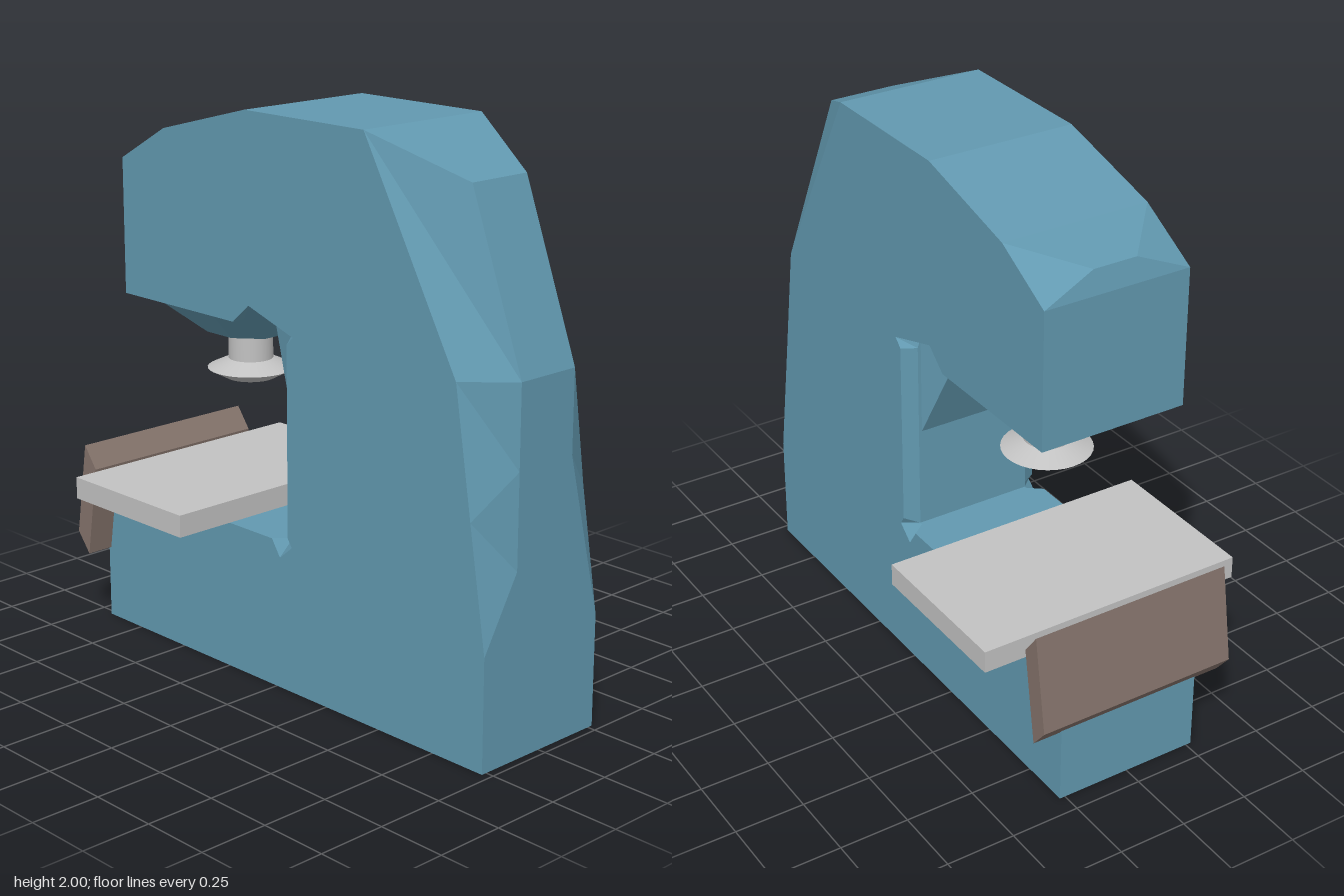
import * as THREE from 'three';

const mat = (name, color, extra = {}) => {
  const m = new THREE.MeshStandardMaterial({ color, ...extra });
  m.name = name;
  return m;
};

// Half width of the frame casting
const W = 0.27;

// Outline stations, counter-clockwise: side point x, y, then (where the edge
// is bevelled) the inner crest point x, y and its half width.
const OUTLINE = [
  [-0.93, 0], [0.97, 0],
  // bevelled back
  [0.97, 0.4], [0.97, 0.4, 0.97, 0.65, 0.125],
  [0.9, 0.83, 0.97, 0.98, 0.125],
  [0.83, 1.27, 0.97, 1.27, 0.125],
  [0.42, 2, 0.75, 1.86, 0.125], [0.42, 2],
  // top and nose
  [-0.14, 2], [-0.56, 1.89], [-0.56, 1.89, -0.77, 1.84, 0.08],
  [-0.79, 1.76, -0.77, 1.84, 0.08], [-0.79, 1.76], [-0.79, 1.27],
  // underside of the arm
  [-0.21, 1.27, -0.21, 1.27, 0.22],
  [-0.13, 1.34, -0.13, 1.27, 0.16],
  [0.09, 1.27, 0.03, 1.27, 0.21],
  // throat and bed
  [0.06, 1.24, 0.03, 1.24, 0.22], [0.06, 0.56, 0.03, 0.56, 0.22],
  [0.08, 0.53, 0.03, 0.54, 0.22], [0.02, 0.48, 0.02, 0.54, 0.22],
  [-0.02, 0.54], [-0.93, 0.54],
];

function frameGeometry() {
  const pos = [];
  const tri = (...pts) => {
    const area = new THREE.Triangle(...pts).getArea();
    if (area > 1e-6) pts.forEach((p) => pos.push(p.x, p.y, p.z));
  };
  const quad = (a, b, c, d) => { tri(a, b, c); tri(a, c, d); };
  const flip = (p) => new THREE.Vector3(p.x, p.y, -p.z);

  const side = OUTLINE.map(([x, y]) => new THREE.Vector3(x, y, W));
  const crest = OUTLINE.map(([x, y, cx = x, cy = y, cz = W]) => new THREE.Vector3(cx, cy, cz));

  // flat cheeks
  const flat = side.map((p) => new THREE.Vector2(p.x, p.y));
  for (const [a, b, c] of THREE.ShapeUtils.triangulateShape(flat, [])) {
    tri(side[a], side[b], side[c]);
    tri(flip(side[a]), flip(side[c]), flip(side[b]));
  }
  // rim: middle band and a bevel on each side
  side.forEach((s, i) => {
    const j = (i + 1) % side.length;
    const t = side[j], a = crest[i], b = crest[j];
    quad(flip(a), flip(b), b, a);
    quad(a, b, t, s);
    quad(flip(s), flip(t), flip(b), flip(a));
  });

  const g = new THREE.BufferGeometry();
  g.setAttribute('position', new THREE.Float32BufferAttribute(pos, 3));
  g.computeVertexNormals();
  return g;
}

// Polygon in x, y extruded evenly about z = 0
function prism(points, depth) {
  const shape = new THREE.Shape(points.map(([x, y]) => new THREE.Vector2(x, y)));
  const g = new THREE.ExtrudeGeometry(shape, { depth, bevelEnabled: false });
  return g.translate(0, 0, -depth / 2);
}

export function createModel() {
  const group = new THREE.Group();
  const blue = mat('blue paint', 0x6299b0, { flatShading: true });
  const steel = mat('light steel', 0xc2c2c2);
  const brown = mat('brown panel', 0x84736b);

  const add = (name, geometry, material) => {
    const m = new THREE.Mesh(geometry, material);
    m.name = name;
    group.add(m);
    return m;
  };

  add('frame', frameGeometry(), blue);

  // Gusset in the throat, widening towards the column
  const rib = prism([[-0.13, 1.28], [0.035, 0.9], [0.035, 1.28]], 2);
  const p = rib.attributes.position;
  for (let i = 0; i < p.count; i++) {
    p.setZ(i, p.getZ(i) * (p.getX(i) < 0 ? 0.15 : 0.21));
  }
  rib.computeVertexNormals();
  add('throatGusset', rib, blue);

  // Tapered eight-sided boss under the arm
  const k = 1 / Math.cos(Math.PI / 8);
  const boss = new THREE.CylinderGeometry(0.32 * k, 0.155 * k, 0.115, 8);
  boss.rotateY(Math.PI / 8).scale(1, 1, 0.84).translate(-0.445, 1.2125, 0);
  add('ramBoss', boss, blue);

  // Ram and its flared pressing foot
  const ramX = -0.425;
  add('ram', new THREE.CylinderGeometry(0.08, 0.08, 0.11, 32).translate(ramX, 1.105, 0), steel);
  add('footTop', new THREE.CylinderGeometry(0.08, 0.155, 0.035, 32).translate(ramX, 1.0375, 0), steel);
  add('footBottom', new THREE.CylinderGeometry(0.155, 0.09, 0.035, 32).translate(ramX, 1.0025, 0), steel);

  // Work table
  add('workTable', new THREE.BoxGeometry(0.58, 0.08, 0.99).translate(-0.53, 0.58, 0), steel);

  // Tilted panel at the end of the bed
  const panel = prism([[-0.925, 0.69], [-0.98, 0.345], [-0.92, 0.27], [-0.866, 0.61]], 0.745);
  add('controlPanel', panel, brown);

  return group;
}
